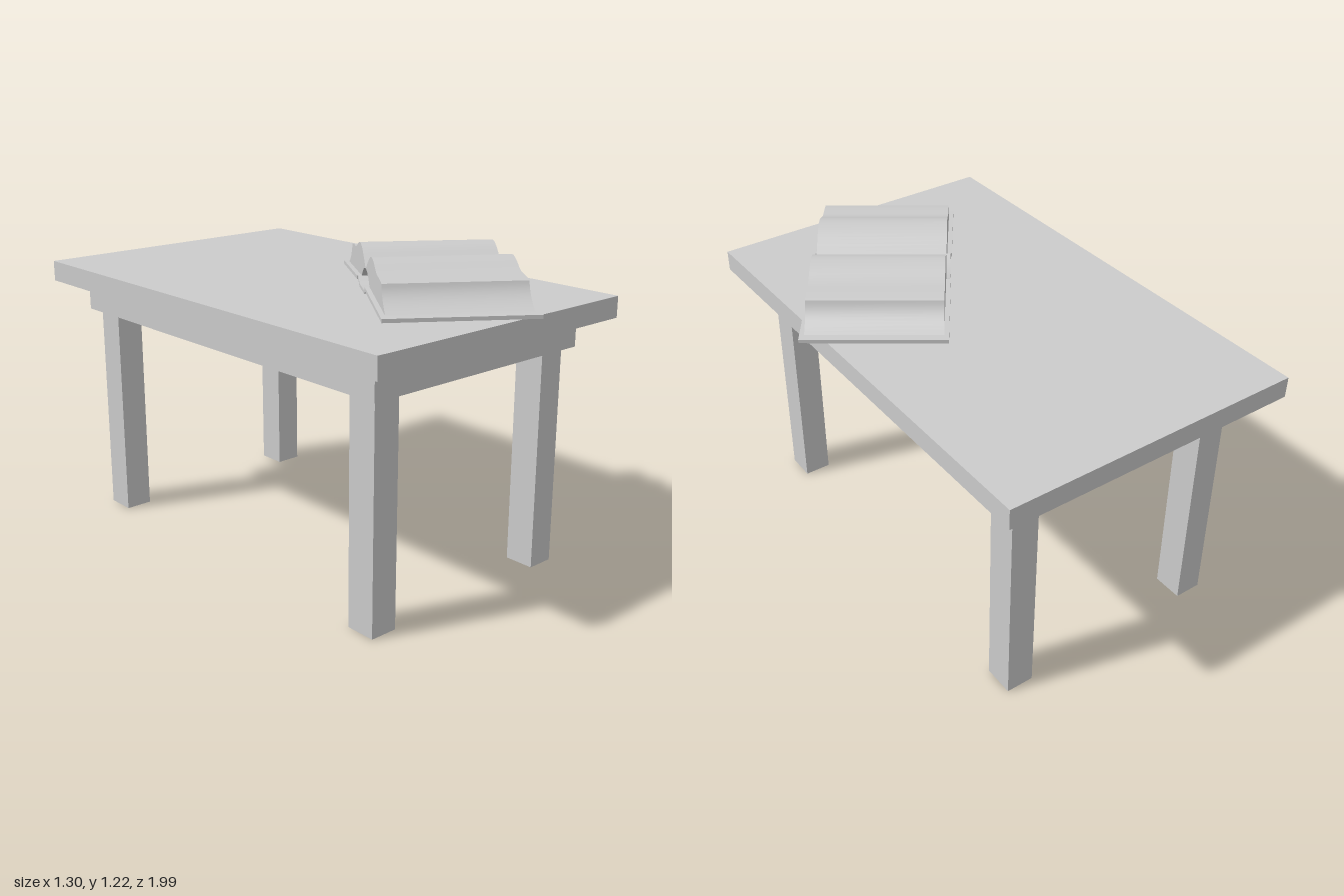
import * as THREE from 'three';
import { toCreasedNormals } from 'three/addons/utils/BufferGeometryUtils.js';

const material = new THREE.MeshStandardMaterial({ color: 0xcccccc, side: THREE.DoubleSide });

// Box given by its limits on each axis
function box(name, [x0, x1], [y0, y1], [z0, z1]) {
  const mesh = new THREE.Mesh(new THREE.BoxGeometry(x1 - x0, y1 - y0, z1 - z0), material);
  mesh.position.set((x0 + x1) / 2, (y0 + y1) / 2, (z0 + z1) / 2);
  mesh.name = name;
  return mesh;
}

// Profile in x/y swept along z, centred, with smooth curves and sharp corners
function sweep(name, shape, length) {
  const geo = new THREE.ExtrudeGeometry(shape, { depth: length, bevelEnabled: false, curveSegments: 10 });
  geo.translate(0, 0, -length / 2);
  const mesh = new THREE.Mesh(toCreasedNormals(geo, 0.5), material);
  mesh.name = name;
  return mesh;
}

const polygon = pts => new THREE.Shape(pts.map(p => new THREE.Vector2(...p)));

function createTable() {
  const table = new THREE.Group();
  table.name = 'table';
  table.add(box('tableTop', [-0.655, 0.557], [0.98, 1.062], [-1, 0.945]));

  // Apron frame, open in the middle
  const t = 0.035, y = [0.865, 0.98];
  const [x0, x1, z0, z1] = [-0.56, 0.465, -0.885, 0.835];
  table.add(
    box('apronFront', [x0, x1], y, [z1 - t, z1]),
    box('apronBack', [x0, x1], y, [z0, z0 + t]),
    box('apronRight', [x0, x0 + t], y, [z0 + t, z1 - t]),
    box('apronLeft', [x1 - t, x1], y, [z0 + t, z1 - t]),
  );

  // Legs in the inner corners of the apron
  for (const [side, lx] of [['Right', [-0.525, -0.415]], ['Left', [0.32, 0.43]]])
    for (const [end, lz] of [['front', [0.68, 0.8]], ['back', [-0.85, -0.73]]])
      table.add(box(`${end}${side}Leg`, lx, [0, 0.98], lz));
  return table;
}

function createBook() {
  const book = new THREE.Group();
  book.name = 'openBook';

  for (const [side, s] of [['Right', -1], ['Left', 1]]) {
    // Page block: fan from the gutter, sloped fore edge, hollow arch by the spine
    const pages = new THREE.Shape();
    pages.moveTo(0, 0.085);
    pages.bezierCurveTo(s * 0.05, 0.112, s * 0.09, 0.152, s * 0.145, 0.155);
    pages.bezierCurveTo(s * 0.21, 0.155, s * 0.235, 0.118, s * 0.29, 0.117);
    pages.quadraticCurveTo(s * 0.345, 0.117, s * 0.378, 0.109);
    pages.quadraticCurveTo(s * 0.395, 0.052, s * 0.474, 0.018);
    pages.lineTo(s * 0.1, 0.038);
    pages.quadraticCurveTo(s * 0.055, 0.085, 0, 0.085);
    book.add(sweep(`pages${side}`, pages, 0.512));

    // Cover board, raised towards the spine
    book.add(sweep(`cover${side}`, polygon([
      [s * 0.503, 0.004], [s * 0.503, 0.018], [s * 0.1, 0.038], [s * 0.1, 0.024],
    ]), 0.548));
  }

  // Spine channel joining the two boards
  book.add(sweep('spine', polygon([
    [-0.1, 0.038], [-0.1, 0.024], [-0.06, 0.004], [0.06, 0.004], [0.1, 0.024],
    [0.1, 0.038], [0.055, 0.016], [-0.055, 0.016],
  ]), 0.54));

  book.rotation.y = 0.956;
  book.position.set(0.132, 1.062, 0.425);
  return book;
}

export function createModel() {
  const model = new THREE.Group();
  model.name = 'tableWithOpenBook';
  model.add(createTable(), createBook());
  return model;
}
